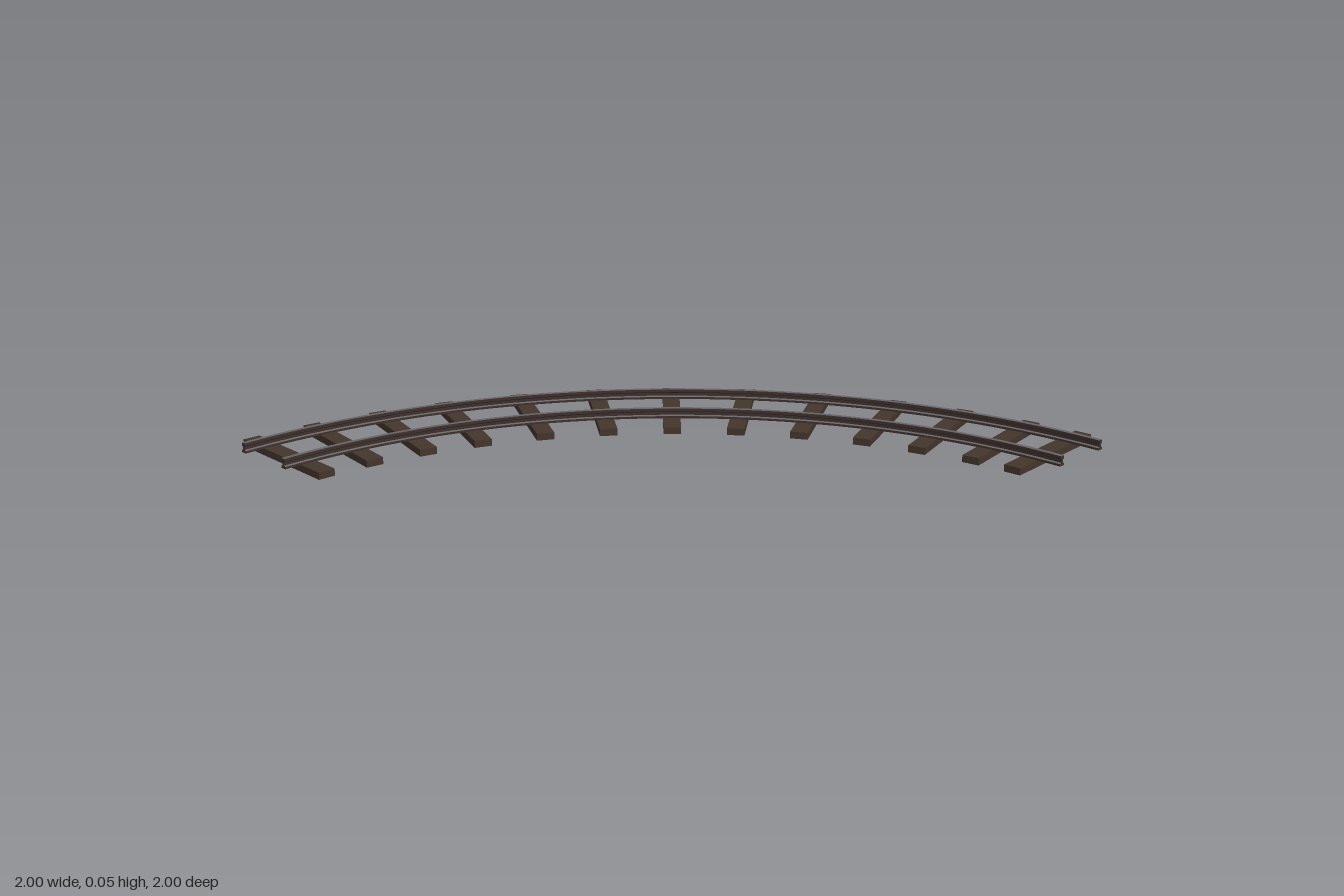
import * as THREE from 'three';
import { toCreasedNormals } from 'three/addons/utils/BufferGeometryUtils.js';

const mat = (name, color) => {
  const m = new THREE.MeshStandardMaterial({ color });
  m.name = name;
  return m;
};

export function createModel() {
  const wood = mat('dark timber', 0x43352c);
  const rust = mat('rusted steel', 0x3d302c);
  const steel = mat('worn steel', 0x686467);

  // The curve is a quarter circle about a pivot at (1, 1)
  const track = new THREE.Group();
  track.name = 'curvedTrack';
  const pivot = new THREE.Group();
  pivot.name = 'curve';
  pivot.position.set(1, 0, 1);
  track.add(pivot);

  const add = (name, geometry, material, parent = pivot) => {
    const mesh = new THREE.Mesh(geometry, material);
    mesh.name = name;
    parent.add(mesh);
    return mesh;
  };
  const sweep = (points) =>
    toCreasedNormals(new THREE.LatheGeometry(points, 64, Math.PI, Math.PI / 2), 0.5);

  // Rails: foot, web and head swept round the curve, with closed ends
  const half = [[0.01, 0.022], [0.01, 0.029], [0.004, 0.032], [0.004, 0.042], [0.0075, 0.045], [0.0075, 0.054]];
  const section = [...half, ...half.map(([x, y]) => [-x, y]).reverse()];
  for (const [name, radius] of [['outerRail', 1.887], ['innerRail', 1.677]]) {
    const points = section.map(([x, y]) => new THREE.Vector2(radius + x, y));
    add(name, sweep([...points, points[0].clone()]), rust);
    add(name + 'Top', sweep([
      new THREE.Vector2(radius + 0.0075, 0.0545),
      new THREE.Vector2(radius - 0.0075, 0.0545),
    ]), steel);
    // Foot edges seen from above
    for (const s of [1, -1]) {
      const foot = [new THREE.Vector2(radius + s * 0.01, 0.0294), new THREE.Vector2(radius + s * 0.004, 0.0324)];
      add(name + 'Foot', sweep(s > 0 ? foot : foot.reverse()), steel);
    }
    add(name + 'EndCap', new THREE.ShapeGeometry(new THREE.Shape(points)).rotateY(Math.PI / 2), rust);
    const mirrored = points.map((p) => new THREE.Vector2(-p.x, p.y));
    add(name + 'EndCap', new THREE.ShapeGeometry(new THREE.Shape(mirrored)), rust);
  }

  // Sleepers: radial planks, slightly closer together toward the ends
  const angles = [2.9, 9.1, 15.8, 22.5, 30, 37.5, 45, 52.5, 60, 67.5, 74.2, 80.9, 86.2];
  const plank = new THREE.BoxGeometry(0.43, 0.023, 0.057);
  for (const degrees of angles) {
    const arm = new THREE.Group();
    arm.name = 'sleeperArm';
    arm.rotation.y = -THREE.MathUtils.degToRad(degrees);
    pivot.add(arm);
    add('sleeper', plank, wood, arm).position.set(-1.783, 0.0115, 0);
  }
  return track;
}
